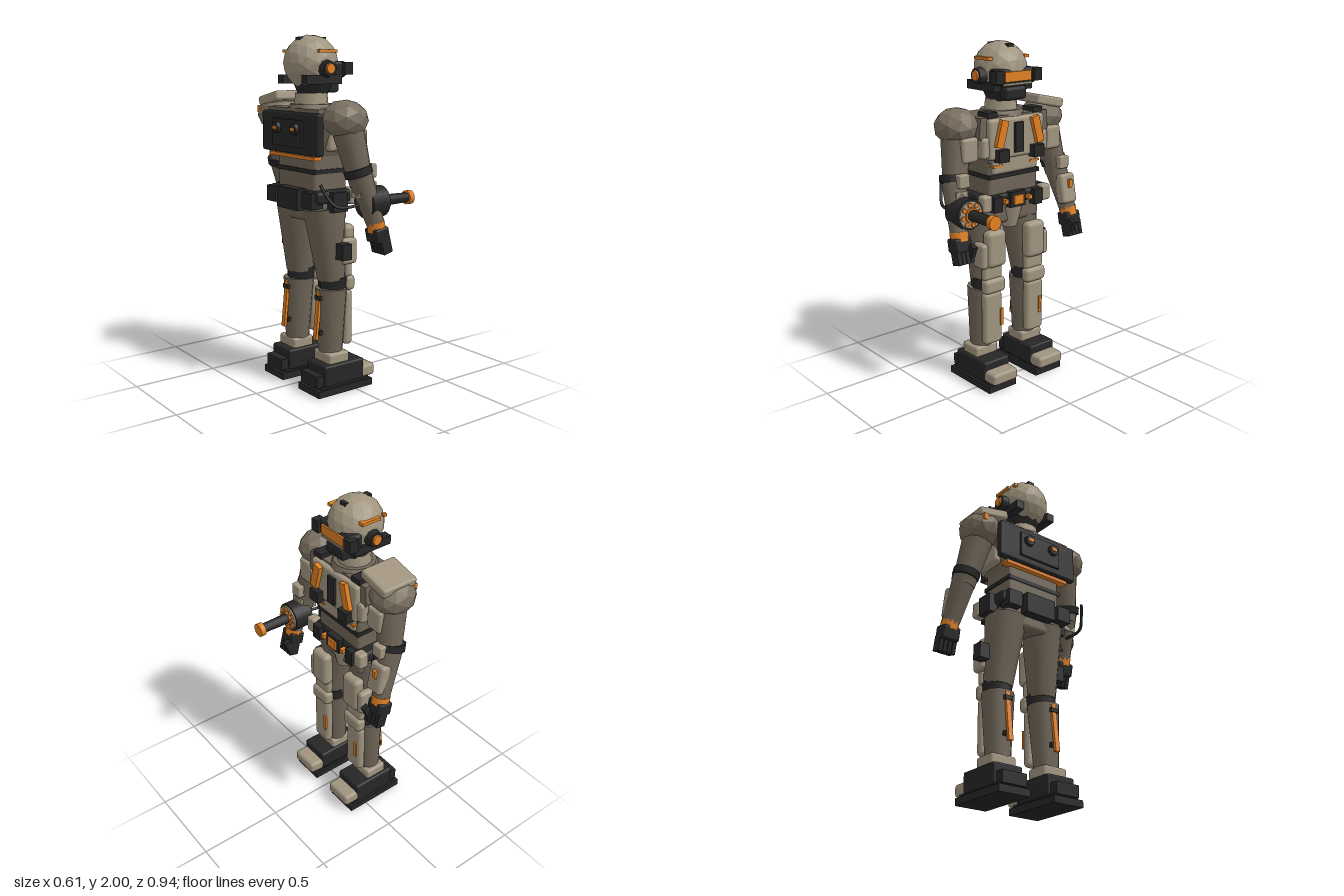
import * as THREE from 'three';
import { RoundedBoxGeometry } from 'three/addons/geometries/RoundedBoxGeometry.js';

const mat = (name, color, flatShading = false) => {
  const m = new THREE.MeshStandardMaterial({ color, flatShading });
  m.name = name;
  return m;
};

export function createModel() {
  const root = new THREE.Group();
  root.name = 'armouredTrooper';
  const armour = mat('warm grey armour', 0xa0947f);
  const cloth = mat('dark taupe suit', 0x6f6557);
  const facet = mat('faceted taupe', 0x7a6f60, true);
  const shell = mat('faceted helmet grey', 0xa0947f, true);
  const black = mat('black rubber', 0x262626);
  const orange = mat('safety orange', 0xe07f22);

  const add = (name, geo, m, p, r = [0, 0, 0]) => {
    const mesh = new THREE.Mesh(geo, m);
    mesh.name = name;
    mesh.position.set(...p);
    mesh.rotation.set(...r);
    root.add(mesh);
    return mesh;
  };
  // box from ranges: x0,x1, y0,y1, z0,z1
  const box = (name, m, [x0, x1, y0, y1, z0, z1], r, round = 0) => {
    const s = [x1 - x0, y1 - y0, Math.abs(z1 - z0)];
    const geo = round ? new RoundedBoxGeometry(...s, 2, Math.min(round, ...s.map(v => v * 0.45)))
      : new THREE.BoxGeometry(...s);
    return add(name, geo, m, [(x0 + x1) / 2, (y0 + y1) / 2, (z0 + z1) / 2], r);
  };
  // tapered round limb between two points
  const limb = (name, m, a, b, ra, rb, sides = 12) => {
    const A = new THREE.Vector3(...a), B = new THREE.Vector3(...b), d = B.clone().sub(A);
    const mesh = add(name, new THREE.CylinderGeometry(rb, ra, d.length(), sides), m,
      A.clone().add(B).multiplyScalar(0.5).toArray());
    mesh.quaternion.setFromUnitVectors(new THREE.Vector3(0, 1, 0), d.normalize());
    return mesh;
  };
  const ball = (name, m, p, s, detail = 1) => {
    const b = add(name, new THREE.IcosahedronGeometry(1, detail), m, p);
    b.scale.set(...s);
    return b;
  };
  const sides = f => [1, -1].forEach(f);

  // Head
  ball('helmetDome', shell, [-0.113, 1.845, 0], [0.155, 0.155, 0.15], 2);
  limb('jawGuard', black, [-0.1, 1.67, 0], [-0.1, 1.765, 0], 0.085, 0.125, 10);
  box('chinGuard', black, [-0.04, 0.035, 1.68, 1.755, -0.075, 0.075], undefined, 0.02);
  box('visorFrame', black, [-0.05, 0.035, 1.765, 1.855, -0.14, 0.14], undefined, 0.02);
  box('visor', orange, [0.03, 0.045, 1.785, 1.84, -0.095, 0.095]);
  box('visorLip', armour, [0.03, 0.042, 1.765, 1.777, -0.1, 0.1]);
  limb('neck', armour, [-0.11, 1.58, 0], [-0.11, 1.68, 0], 0.1, 0.09);
  limb('collar', cloth, [-0.11, 1.585, 0], [-0.11, 1.62, 0], 0.14, 0.12);
  [-0.19, -0.035].forEach(x => box('helmetClip', black, [x - 0.012, x + 0.012, 1.96, 1.985, -0.02, 0.02]));
  box('helmetMarker', orange, [-0.21, -0.19, 1.9, 1.918, -0.135, -0.115]);
  sides(s => {
    limb('earPod', black, [-0.11, 1.815, s * 0.13], [-0.11, 1.815, s * 0.178], 0.05, 0.042, 10);
    limb('earBolt', orange, [-0.11, 1.815, s * 0.17], [-0.11, 1.815, s * 0.187], 0.033, 0.028, 8);
    box('helmetStripe', orange, [-0.16, -0.04, 1.9, 1.917, s * 0.115, s * 0.148]);
    box('jawStrap', black, [-0.24, 0.0, 1.73, 1.78, s * 0.09, s * 0.14]);
    box('visorHinge', black, [0.0, 0.055, 1.78, 1.85, s * 0.11, s * 0.165]);
  });

  // Torso
  const chest = new THREE.Shape([[-0.24, 1.6], [-0.25, 1.5], [-0.18, 1.34], [0.18, 1.34], [0.25, 1.5], [0.24, 1.6]]
    .map(p => new THREE.Vector2(...p)));
  add('chestBody', new THREE.ExtrudeGeometry(chest, { depth: 0.25, bevelEnabled: false }), cloth,
    [-0.24, 0, 0], [0, Math.PI / 2, 0]);
  box('chestPlate', armour, [-0.03, 0.042, 1.36, 1.59, -0.2, 0.2], undefined, 0.02);
  box('bellyPlate', armour, [-0.04, 0.025, 1.27, 1.4, -0.165, 0.165], undefined, 0.02);
  box('waist', cloth, [-0.22, 0.005, 1.14, 1.36, -0.18, 0.18], undefined, 0.02);
  box('waistBand', black, [-0.225, 0.012, 1.245, 1.27, -0.185, 0.185]);
  box('sternumPanel', black, [0.03, 0.058, 1.39, 1.56, -0.03, 0.03]);
  sides(s => {
    box('chestStripe', orange, [0.042, 0.068, 1.43, 1.585, s * 0.105, s * 0.155], [s * -0.27, 0, 0]);
    box('chestPouch', black, [0.03, 0.08, 1.35, 1.42, s * 0.09, s * 0.165]);
    box('ribPad', armour, [-0.16, 0.03, 1.37, 1.49, s * 0.17, s * 0.24], undefined, 0.02);
    box('ribTrim', orange, [-0.01, 0.03, 1.315, 1.327, s * 0.1, s * 0.17]);
    box('collarClip', black, [-0.07, 0.02, 1.595, 1.625, s * 0.13, s * 0.2]);
  });

  // Back unit
  box('backPack', black, [-0.265, -0.22, 1.35, 1.58, -0.275, 0.275], undefined, 0.015);
  box('backPackPlate', black, [-0.28, -0.25, 1.39, 1.54, -0.14, 0.14]);
  box('backTrim', orange, [-0.25, -0.2, 1.325, 1.345, -0.22, 0.22]);
  sides(s => {
    limb('backValve', black, [-0.27, 1.49, s * 0.088], [-0.3, 1.49, s * 0.088], 0.035, 0.03, 10);
    box('valveMark', orange, [-0.305, -0.295, 1.48, 1.5, s * 0.07, s * 0.105]);
  });

  // Belt and hips
  box('pelvis', cloth, [-0.22, 0.0, 0.97, 1.12, -0.2, 0.2], undefined, 0.03);
  box('belt', black, [-0.24, 0.02, 1.085, 1.155, -0.24, 0.24], undefined, 0.02);
  box('buckleBase', black, [0.0, 0.045, 1.07, 1.16, -0.055, 0.055]);
  box('buckle', orange, [0.04, 0.055, 1.085, 1.14, -0.035, 0.035]);
  limb('groinGuard', armour, [-0.04, 0.94, 0], [-0.04, 1.07, 0], 0.045, 0.08, 8);
  box('rearPouch', black, [-0.28, -0.2, 1.04, 1.16, -0.1, 0.1]);
  sides(s => {
    box('beltPouch', black, [-0.01, 0.05, 1.06, 1.15, s * 0.12, s * 0.18]);
    box('hipPouch', armour, [-0.02, 0.045, 1.07, 1.165, s * 0.185, s * 0.25], undefined, 0.015);
    box('sidePouch', black, [-0.16, -0.06, 1.04, 1.15, s * 0.22, s * 0.275]);
    box('rearSidePouch', black, [-0.27, -0.19, 1.06, 1.15, s * 0.13, s * 0.22]);
    box('beltMark', orange, [0.02, 0.052, 1.1, 1.125, s * 0.075, s * 0.1]);
  });

  // Legs and boots
  sides(s => {
    const thigh = limb('thigh', cloth, [-0.085, 0.64, s * 0.155], [-0.12, 1.05, s * 0.13], 0.08, 0.12);
    thigh.renderOrder = 0;
    box('thighPlate', armour, [-0.03, 0.045, 0.73, 0.95, s * 0.08, s * 0.215], undefined, 0.03);
    box('lowerThighPlate', armour, [-0.03, 0.015, 0.65, 0.75, s * 0.09, s * 0.225], undefined, 0.02);
    box('outerThighPlate', armour, [-0.07, 0.03, 0.73, 0.88, s * 0.2, s * 0.25], undefined, 0.02);
    box('thighPouch', black, [-0.115, -0.05, 0.77, 0.86, s * 0.23, s * 0.3]);
    limb('kneeJoint', black, [-0.08, 0.58, s * 0.155], [-0.075, 0.655, s * 0.155], 0.08, 0.085, 8);
    box('kneePad', armour, [-0.03, 0.035, 0.57, 0.66, s * 0.08, s * 0.23], undefined, 0.025);
    limb('shin', cloth, [-0.1, 0.22, s * 0.165], [-0.09, 0.59, s * 0.16], 0.07, 0.092);
    box('shinPlate', armour, [-0.035, 0.02, 0.25, 0.575, s * 0.095, s * 0.225], undefined, 0.03);
    const z = s > 0 ? 0.11 : -0.19;
    box('shinMark', orange, [0.015, 0.028, 0.36, 0.465, z - 0.01, z + 0.01]);
    box('calfStripe', orange, [-0.195, -0.178, 0.3, 0.58, s * 0.145, s * 0.175], [0, 0, -0.1]);
    [0.33, 0.53].forEach(y => box('calfClip', black, [-0.19, -0.15, y, y + 0.025, s * 0.135, s * 0.185]));

    box('ankle', armour, [-0.17, -0.03, 0.165, 0.23, s * 0.095, s * 0.255], undefined, 0.015);
    box('bootUpper', black, [-0.21, 0.065, 0.05, 0.17, s * 0.085, s * 0.27], undefined, 0.012);
    box('toeCap', armour, [0.03, 0.15, 0.05, 0.122, s * 0.088, s * 0.268], undefined, 0.02);
    box('heel', black, [-0.26, -0.2, 0.05, 0.118, s * 0.1, s * 0.255]);
    box('sole', black, [-0.263, 0.118, 0, 0.04, s * 0.08, s * 0.28]);
    box('midsole', black, [-0.24, 0.1, 0.035, 0.055, s * 0.095, s * 0.265]);
  });

  // Arms and hands
  sides(s => {
    const pad = ball('shoulderPad', facet, [-0.115, 1.55, s * 0.315], [0.132, 0.105, 0.122]);
    pad.rotation.x = s * 0.15;
    limb('upperArm', cloth, [-0.05, 1.2, s * 0.38], [-0.11, 1.54, s * 0.315], 0.065, 0.092);
    limb('forearm', cloth, [0.025, 0.98, s * 0.41], [-0.06, 1.25, s * 0.375], 0.05, 0.07);
    box('bicepPlate', armour, [-0.04, 0.01, 1.36, 1.5, s * 0.25, s * 0.36], undefined, 0.02);
    limb('elbowStrap', black, [-0.065, 1.25, s * 0.377], [-0.075, 1.29, s * 0.37], 0.077, 0.079);
    box('elbowBlock', armour, [-0.04, 0.035, 1.235, 1.31, s * 0.335, s * 0.405], undefined, 0.008);
    limb('cuff', orange, [0.032, 0.945, s * 0.412], [0.022, 0.995, s * 0.41], 0.052, 0.052, 10);
    box('palm', black, [-0.01, 0.08, 0.885, 0.965, s * 0.36, s * 0.468], [0, 0, 0.2], 0.012);
    for (let i = 0; i < 4; i++) {
      const z = s * (0.372 + i * 0.028);
      box('finger', black, [0.03, 0.09, 0.82, 0.91, z - 0.012, z + 0.012], [0, 0, 0.25]);
    }
    box('thumb', black, [0.075, 0.115, 0.86, 0.93, s * 0.36, s * 0.39], [0, 0, -0.4]);
  });

  // Right arm extras
  box('rightShoulderPlate', armour, [-0.22, 0.005, 1.615, 1.67, -0.385, -0.185], [-0.22, 0, 0], 0.015);
  box('forearmPlate', armour, [-0.01, 0.06, 1.02, 1.2, -0.445, -0.335], [0, 0, 0.2], 0.02);
  box('forearmMark', orange, [0.05, 0.068, 1.12, 1.17, -0.405, -0.38]);
  box('shoulderMark', orange, [-0.235, -0.21, 1.56, 1.6, -0.37, -0.34]);

  // Left forearm cannon
  const [gy, gz] = [1.1, 0.377];
  limb('cannonDrum', black, [-0.03, gy, gz], [0.085, gy, gz], 0.087, 0.087, 20);
  limb('drumFace', armour, [0.08, gy, gz], [0.094, gy, gz], 0.076, 0.076, 20);
  limb('drumHub', orange, [0.09, gy, gz], [0.105, gy, gz], 0.042, 0.042, 16);
  for (let i = 0; i < 8; i++) {
    const a = i * Math.PI / 4 + 0.2, y = gy + 0.058 * Math.cos(a), z = gz + 0.058 * Math.sin(a);
    limb('drumBolt', orange, [0.088, y, z], [0.102, y, z], 0.014, 0.014, 8);
  }
  limb('barrel', black, [0.1, gy, gz], [0.28, gy, gz], 0.032, 0.028);
  limb('muzzle', orange, [0.27, gy, gz], [0.302, gy, gz], 0.04, 0.04, 16);
  box('cannonMount', armour, [-0.09, 0.02, 1.13, 1.215, 0.34, 0.42]);
  const feed = new THREE.CatmullRomCurve3([[-0.275, 1.21, 0.31], [-0.25, 1.15, 0.33], [-0.2, 1.09, 0.36], [-0.03, 1.09, 0.377]]
    .map(p => new THREE.Vector3(...p)));
  add('feedHose', new THREE.TubeGeometry(feed, 16, 0.009, 6), black, [0, 0, 0]);
  return root;
}
